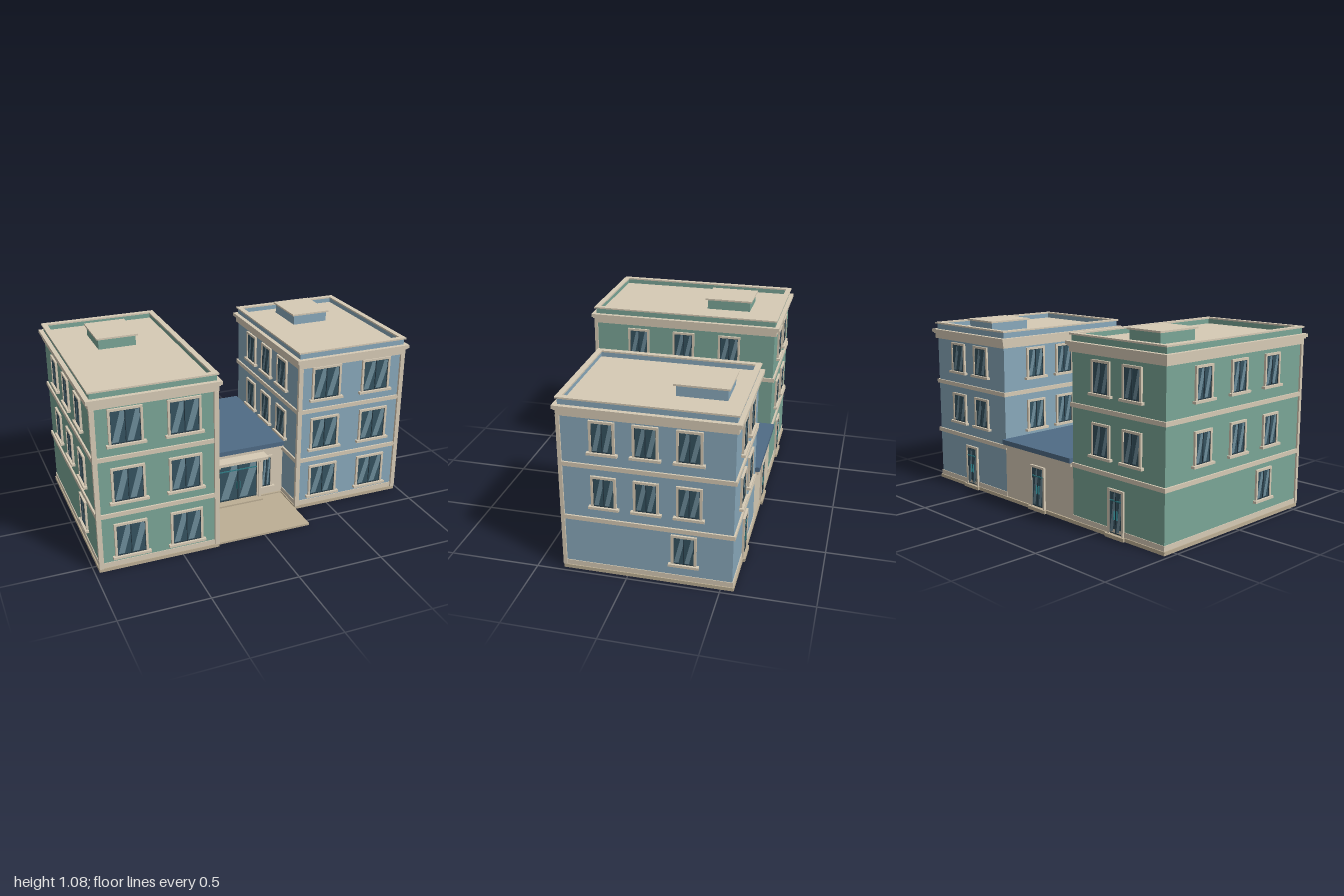
import * as THREE from 'three';

const mat = (color, side = THREE.FrontSide) => {
  const m = new THREE.MeshStandardMaterial({ side });
  m.color.set(color);
  return m;
};
const M = {
  cream: mat(0xd6cab5), stone: mat(0xbcae94), green: mat(0x7aa596), blue: mat(0x88a8ba),
  slate: mat(0x4f6b85), glass: mat(0x35525f), sheen: mat(0x6c8b99, THREE.DoubleSide),
  sash: mat(0x263a45), teal: mat(0x2f7d86),
};

// Box given by its min and max corners
function box(parent, name, m, x0, x1, y0, y1, z0, z1) {
  const mesh = new THREE.Mesh(new THREE.BoxGeometry(x1 - x0, y1 - y0, z1 - z0), m);
  mesh.position.set((x0 + x1) / 2, (y0 + y1) / 2, (z0 + z1) / 2);
  mesh.name = name;
  parent.add(mesh);
  return mesh;
}

// Box following a footprint, grown outward by g
const slab = (parent, name, m, f, g, y0, y1) =>
  box(parent, name, m, f.x0 - g, f.x1 + g, y0, y1, f.z0 - g, f.z1 + g);

// Hollow rectangular ring following a footprint
function ring(parent, name, m, f, g, t, y0, y1) {
  const rect = (P, e) => {
    const p = new P();
    p.moveTo(f.x0 - e, -f.z1 - e);
    p.lineTo(f.x1 + e, -f.z1 - e);
    p.lineTo(f.x1 + e, -f.z0 + e);
    p.lineTo(f.x0 - e, -f.z0 + e);
    p.closePath();
    return p;
  };
  const s = rect(THREE.Shape, g);
  s.holes.push(rect(THREE.Path, g - t));
  const geo = new THREE.ExtrudeGeometry(s, { depth: y1 - y0, bevelEnabled: false });
  geo.rotateX(-Math.PI / 2);
  const mesh = new THREE.Mesh(geo, m);
  mesh.position.y = y0;
  mesh.name = name;
  parent.add(mesh);
}

// Glazing: dark panes with slanted light reflections and a centre bar
function glazing(g, w, y0, y1) {
  box(g, 'glass', M.glass, -w / 2, w / 2, y0, y1, 0, 0.004);
  const h = y1 - y0, pw = w / 2;
  for (const x of [-pw, 0]) {
    const s = new THREE.Shape();
    s.moveTo(x + pw * 0.08, y0 + h * 0.04);
    s.lineTo(x + pw * 0.5, y0 + h * 0.04);
    s.lineTo(x + pw * 0.95, y0 + h * 0.72);
    s.lineTo(x + pw * 0.95, y0 + h * 0.96);
    s.lineTo(x + pw * 0.68, y0 + h * 0.96);
    s.closePath();
    const mesh = new THREE.Mesh(new THREE.ShapeGeometry(s), M.sheen);
    mesh.position.z = 0.0055;
    mesh.name = 'reflection';
    g.add(mesh);
  }
  for (const x of [-w / 2 + 0.002, 0, w / 2 - 0.002])
    box(g, 'sashBar', M.sash, x - 0.002, x + 0.002, y0, y1, 0, 0.008);
  for (const y of [y0 + 0.002, y1 - 0.002])
    box(g, 'sashRail', M.sash, -w / 2, w / 2, y - 0.002, y + 0.002, 0, 0.008);
}

// Frame around an opening: two jambs and a head
function frame(g, w, y0, y1, t = 0.013, d = 0.012) {
  for (const s of [-1, 1]) {
    const x = s * (w / 2 - t / 2);
    box(g, 'jamb', M.cream, x - t / 2, x + t / 2, y0, y1, 0, d);
  }
  box(g, 'head', M.cream, -w / 2, w / 2, y1 - t, y1, 0, d);
}

function windowUnit(w, y0, y1) {
  const g = new THREE.Group();
  g.name = 'window';
  glazing(g, w - 0.022, y0, y1 - 0.011);
  frame(g, w, y0, y1);
  box(g, 'sill', M.cream, -w / 2 - 0.014, w / 2 + 0.014, y0 - 0.014, y0, 0, 0.022);
  return g;
}

function doorUnit(w, y1) {
  const g = new THREE.Group();
  g.name = 'door';
  glazing(g, w - 0.022, 0.025, y1 - 0.011);
  frame(g, w, 0.02, y1);
  box(g, 'transom', M.teal, -w / 2 + 0.013, w / 2 - 0.013, y1 - 0.065, y1 - 0.059, 0, 0.009);
  for (const x of [-0.01, 0.01])
    box(g, 'handle', M.teal, x - 0.0015, x + 0.0015, 0.1, 0.15, 0.004, 0.013);
  box(g, 'step', M.stone, -w / 2 - 0.012, w / 2 + 0.012, 0, 0.02, 0, 0.022);
  return g;
}

// Puts a unit on one face of a footprint; u is world x or z along that face
function place(parent, unit, f, face, u) {
  const [x, z, r] = {
    front: [u, f.z1, 0], back: [u, f.z0, Math.PI],
    left: [f.x1, u, Math.PI / 2], right: [f.x0, u, -Math.PI / 2],
  }[face];
  unit.position.set(x, 0, z);
  unit.rotation.y = r;
  parent.add(unit);
}

// Three-storey wing; eave is the underside of the frieze
function wing(o) {
  const g = new THREE.Group(), f = o.foot, e = o.eave;
  g.name = o.name;
  slab(g, 'plinth', M.stone, f, 0.01, 0, 0.02);
  slab(g, 'baseCourse', M.cream, f, 0.004, 0.02, 0.048);
  slab(g, 'walls', o.wall, f, 0, 0.02, e + 0.058);
  for (const y of o.bands) slab(g, 'floorBand', M.cream, f, 0.01, y, y + 0.024);
  for (const x of [f.x0, f.x1])
    box(g, 'cornerPilaster', M.cream, x - 0.01 + (x === f.x1 ? -0.006 : 0), x + 0.01 + (x === f.x0 ? 0.006 : 0),
      0.02, e, f.z1 - 0.006, f.z1 + 0.014);
  // Cornice, parapet and roof
  slab(g, 'frieze', M.cream, f, 0.012, e, e + 0.035);
  slab(g, 'cornice', M.cream, f, 0.027, e + 0.038, e + 0.057);
  slab(g, 'corniceBed', M.cream, f, 0.019, e + 0.03, e + 0.04);
  slab(g, 'roofDeck', M.cream, f, -0.005, e + 0.05, e + 0.062);
  ring(g, 'parapet', o.wall, f, 0.002, 0.016, e + 0.055, e + 0.092);
  ring(g, 'parapetCap', M.cream, f, 0.012, 0.032, e + 0.09, e + 0.099);
  // Roof hatch
  const h = o.hatch;
  slab(g, 'hatch', o.wall, h, -0.012, e + 0.05, e + 0.122);
  slab(g, 'hatchLid', M.cream, h, 0, e + 0.121, e + 0.131);
  // Windows and back door
  for (const y of o.frontSills)
    for (const x of o.frontX) place(g, windowUnit(0.185, y, y + 0.196), f, 'front', x);
  for (const y of o.sideSills) {
    for (const z of o.sideZ)
      for (const face of ['left', 'right']) place(g, windowUnit(0.135, y, y + 0.175), f, face, z);
    for (const dx of [-0.113, 0.113])
      place(g, windowUnit(0.135, y, y + 0.175), f, 'back', (f.x0 + f.x1) / 2 + dx);
  }
  place(g, windowUnit(0.135, 0.12, 0.292), f, o.outer, o.groundZ);
  place(g, doorUnit(0.115, 0.265), f, 'back', (f.x0 + f.x1) / 2);
  return g;
}

// Low entrance hall between the wings
function entranceHall() {
  const g = new THREE.Group();
  g.name = 'entranceHall';
  const f = { x0: -0.295, x1: 0.295, z0: -0.56, z1: 0.145 };
  box(g, 'plinth', M.stone, f.x0, f.x1, 0, 0.02, f.z0 - 0.01, f.z1 + 0.01);
  box(g, 'walls', M.cream, f.x0, f.x1, 0.02, 0.33, f.z0, f.z1);
  box(g, 'cornice', M.cream, f.x0, f.x1, 0.322, 0.342, f.z0 - 0.02, f.z1 + 0.015);
  box(g, 'roof', M.slate, f.x0, f.x1, 0.342, 0.37, f.z0 - 0.025, f.z1 + 0.022);
  box(g, 'forecourt', M.stone, f.x0, f.x1 - 0.01, 0, 0.012, f.z1, 0.55);
  // Main doors with piers and canopy
  place(g, doorUnit(0.27, 0.288), f, 'front', 0);
  for (const s of [-1, 1]) {
    box(g, 'doorPier', M.cream, s * 0.137 - 0.008, s * 0.137 + 0.008, 0.02, 0.295, f.z1, f.z1 + 0.022);
    place(g, windowUnit(0.078, 0.078, 0.285), f, 'front', s * 0.186);
    box(g, 'canopyBracket', M.cream, s * 0.137 - 0.008, s * 0.137 + 0.008, 0.275, 0.297, f.z1, f.z1 + 0.05);
  }
  box(g, 'canopy', M.cream, -0.168, 0.168, 0.297, 0.315, f.z1, 0.22);
  box(g, 'entranceStep', M.stone, -0.145, 0.145, 0, 0.022, f.z1, 0.2);
  place(g, doorUnit(0.12, 0.265), f, 'back', 0);
  return g;
}

export function createModel() {
  const model = new THREE.Group();
  model.name = 'building';
  model.add(wing({
    name: 'greenWing', wall: M.green, foot: { x0: -0.965, x1: -0.295, z0: -0.56, z1: 0.557 }, eave: 0.95,
    bands: [0.322, 0.653], hatch: { x0: -0.76, x1: -0.518, z0: -0.38, z1: -0.088 },
    frontX: [-0.79, -0.474], frontSills: [0.081, 0.412, 0.744],
    sideZ: [-0.285, 0, 0.285], sideSills: [0.42, 0.752], outer: 'right', groundZ: 0.24,
  }));
  model.add(wing({
    name: 'blueWing', wall: M.blue, foot: { x0: 0.295, x1: 0.965, z0: -0.56, z1: 0.345 }, eave: 0.905,
    bands: [0.307, 0.621], hatch: { x0: 0.507, x1: 0.753, z0: -0.484, z1: -0.192 },
    frontX: [0.465, 0.788], frontSills: [0.079, 0.39, 0.706],
    sideZ: [-0.33, -0.105, 0.12], sideSills: [0.405, 0.718], outer: 'left', groundZ: -0.303,
  }));
  model.add(entranceHall());
  return model;
}
